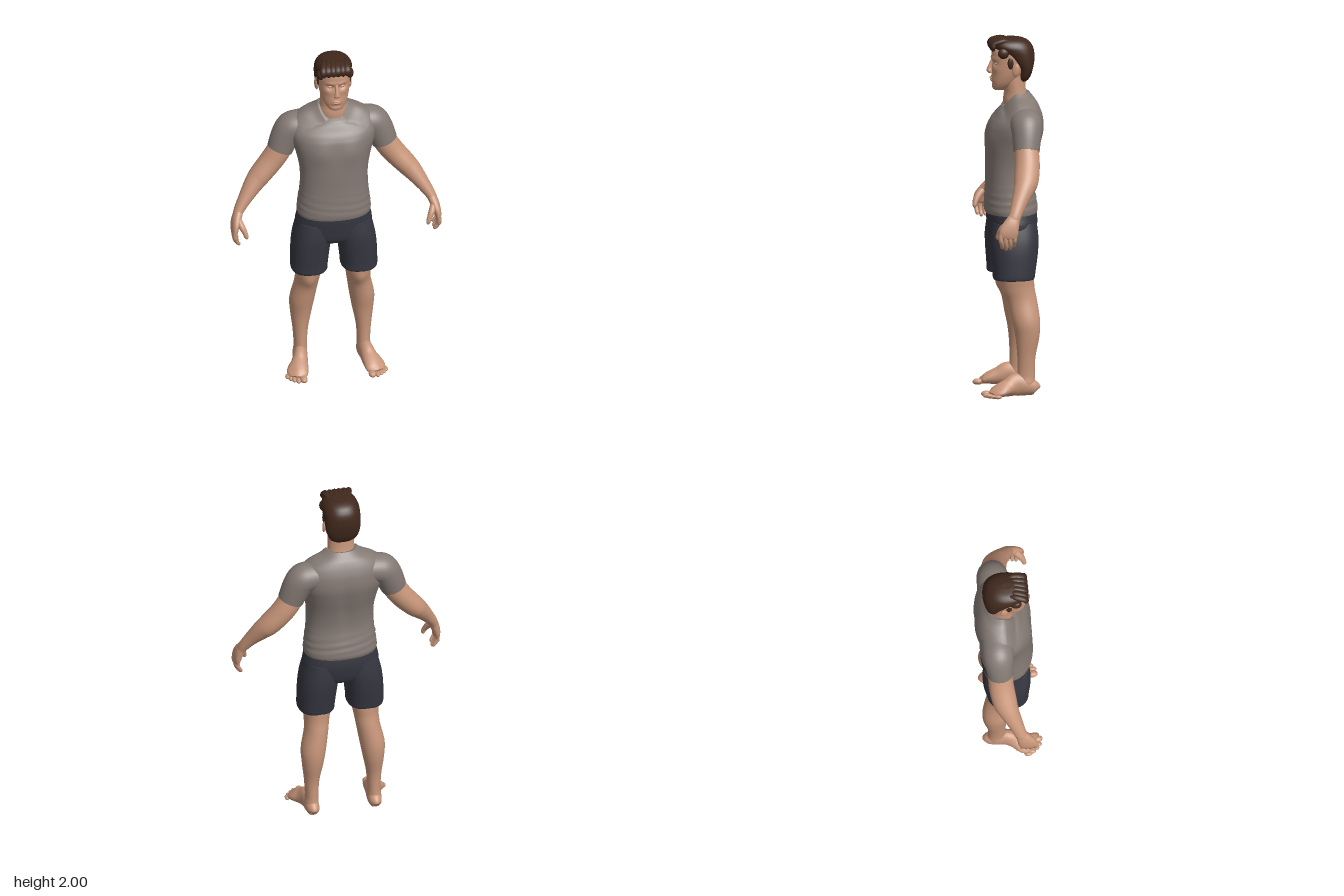
import * as THREE from 'three';

const V = (x, y, z) => new THREE.Vector3(x, y, z);
const bump = (d, w) => Math.exp(-(d * d) / (w * w));

// Smooth skin over superellipse sections [x, y, z, halfU, halfV]; flat keeps every section horizontal
function loft(sections, { flat = false, ref = V(0, 0, 1), seg = 28, steps = 5, p = 2, deform = null } = {}) {
  const path = new THREE.CatmullRomCurve3(sections.map(s => V(s[0], s[1], s[2])));
  const size = new THREE.CatmullRomCurve3(sections.map(s => V(s[3], s[4], 0)));
  const at = (curve, t) => { // parameter follows the section index
    const n = sections.length - 1, i = Math.min(Math.floor(t * n), n - 1), f = t * n - i;
    const P = curve.points, a = P[Math.max(i - 1, 0)], b = P[i], c = P[i + 1], d = P[Math.min(i + 2, n)];
    const cr = k => b[k] + 0.5 * f * (c[k] - a[k] + f * (2 * a[k] - 5 * b[k] + 4 * c[k] - d[k] + f * (3 * (b[k] - c[k]) + d[k] - a[k])));
    return V(cr('x'), cr('y'), cr('z'));
  };
  const rows = (sections.length - 1) * steps, pos = [], idx = [];
  for (let i = 0; i <= rows; i++) {
    const t = i / rows, c = at(path, t), r = at(size, t);
    const tan = flat ? V(0, Math.sign(sections.at(-1)[1] - sections[0][1]), 0)
      : at(path, Math.min(t + 0.01, 1)).sub(at(path, Math.max(t - 0.01, 0))).normalize();
    const v = ref.clone().addScaledVector(tan, -ref.dot(tan)).normalize();
    const u = tan.clone().cross(v);
    for (let j = 0; j < seg; j++) {
      const a = j / seg * Math.PI * 2, co = Math.cos(a), si = Math.sin(a);
      const q = c.clone()
        .addScaledVector(u, Math.sign(co) * Math.abs(co) ** (2 / p) * r.x)
        .addScaledVector(v, Math.sign(si) * Math.abs(si) ** (2 / p) * r.y);
      if (deform) deform(q);
      pos.push(q.x, q.y, q.z);
    }
  }
  for (let i = 0; i < rows; i++) for (let j = 0; j < seg; j++) {
    const k = (j + 1) % seg, a = i * seg + j, d = i * seg + k;
    idx.push(a, a + seg, d, a + seg, d + seg, d);
  }
  // end caps with their own corners, so hems stay crisp
  for (const row of [0, rows]) {
    const base = pos.length / 3, mid = V(0, 0, 0);
    for (let j = 0; j < seg; j++) {
      const o = (row * seg + j) * 3;
      pos.push(pos[o], pos[o + 1], pos[o + 2]);
      mid.add(V(pos[o], pos[o + 1], pos[o + 2]));
    }
    mid.divideScalar(seg);
    pos.push(mid.x, mid.y, mid.z);
    for (let j = 0; j < seg; j++) {
      const a = base + j, b = base + (j + 1) % seg;
      idx.push(base + seg, ...(row === 0 ? [a, b] : [b, a]));
    }
  }
  const g = new THREE.BufferGeometry();
  g.setAttribute('position', new THREE.Float32BufferAttribute(pos, 3));
  g.setIndex(idx);
  g.computeVertexNormals();
  return g;
}

// Horizontal sections given as [y, front z, back z, half width]
const rings = list => list.map(([y, f, b, a]) => [0, y, (f + b) / 2, a, (f - b) / 2]);

function blob(x, y, z, rx, ry, rz) {
  return new THREE.SphereGeometry(1, 18, 12).scale(rx, ry, rz).translate(x, y, z);
}

function mirrored(geo) {
  const g = geo.clone().scale(-1, 1, 1), ix = g.index.array;
  for (let i = 0; i < ix.length; i += 3) [ix[i], ix[i + 1]] = [ix[i + 1], ix[i]];
  g.computeVertexNormals();
  return g;
}

export function createModel() {
  const model = new THREE.Group();
  const mat = (name, color) => { const m = new THREE.MeshStandardMaterial({ color }); m.name = name; return m; };
  const skin = mat('skin', 0xc8967a), shirt = mat('grey shirt', 0x857a74);
  const navy = mat('dark shorts', 0x353640), brown = mat('brown hair', 0x40281c);
  const add = (name, geo, m) => {
    const mesh = new THREE.Mesh(geo, m);
    mesh.name = name;
    model.add(mesh);
  };
  const pair = (name, geo, m) => {
    add('left' + name, geo, m);
    add('right' + name, mirrored(geo), m);
  };

  // Shirt body, with chest, spine groove, waist folds and a dipped neckline
  add('shirtBody', loft(rings([
    [1.015, .138, -.148, .206], [1.04, .143, -.153, .207], [1.1, .14, -.145, .2], [1.2, .135, -.13, .19],
    [1.3, .135, -.142, .192], [1.4, .133, -.168, .212], [1.48, .122, -.185, .236], [1.55, .105, -.182, .24],
    [1.6, .085, -.167, .222], [1.64, .07, -.147, .172], [1.665, .06, -.128, .118], [1.69, .05, -.108, .086],
  ]), {
    flat: true, seg: 56, steps: 6, p: 2.25, deform: q => {
      const y = q.y;
      if (q.z > 0) q.z += .01 * bump(Math.abs(q.x) - .09, .06) * bump(y - 1.44, .06);
      else q.z += .012 * bump(q.x, .03) * bump(y - 1.35, .17);
      const fold = .004 * bump(y - 1.11, .05) * Math.sin(y * 150 + q.x * 14 + q.z * 9);
      q.x *= 1 + fold * 4; q.z *= 1 + fold * 5;
      const s = THREE.MathUtils.clamp((y - 1.5) / .19, 0, 1);
      q.y -= .08 * s * THREE.MathUtils.clamp((q.z + .03) / .07, 0, 1) ** 1.5;
    },
  }), shirt);
  pair('Sleeve', loft([
    [.12, 1.55, -.065, .08, .09], [.2, 1.54, -.065, .083, .09], [.235, 1.525, -.065, .085, .088],
    [.265, 1.475, -.062, .081, .081], [.295, 1.4, -.057, .073, .073],
  ], { seg: 32 }), shirt);

  // Shorts
  add('shortsSeat', loft(rings([
    [.85, .1, -.12, .17], [.88, .115, -.137, .205], [.95, .125, -.15, .215], [1.0, .13, -.149, .207], [1.05, .13, -.14, .198],
  ]), { flat: true, seg: 40, p: 2.3 }), navy);
  pair('ShortsLeg', loft([
    [.105, .97, -.012, .1, .125], [.12, .88, -.011, .108, .134], [.131, .8, -.01, .108, .13],
    [.139, .7, -.007, .104, .119], [.14, .665, -.005, .103, .116], [.14, .655, -.005, .099, .111],
  ], { flat: true, seg: 36, p: 2.4 }), navy);

  // Legs and feet
  pair('Leg', loft([
    [.137, .75, -.02, .085, .095], [.137, .66, -.025, .08, .094], [.141, .6, -.032, .071, .09],
    [.148, .53, -.052, .067, .083], [.168, .42, -.07, .07, .079], [.174, .33, -.077, .06, .067],
    [.178, .22, -.071, .043, .051], [.178, .12, -.069, .037, .049], [.18, .07, -.067, .04, .054], [.18, .03, -.065, .036, .05],
  ], {
    flat: true, seg: 32, deform: q => {
      if (q.z > -.01) q.z += .01 * bump(q.y - .57, .04) * bump(q.x - .142, .035); // kneecap
    },
  }), skin);
  pair('Foot', loft([
    [.178, .032, -.131, .014, .02], [.178, .04, -.12, .032, .038], [.18, .055, -.07, .041, .055],
    [.186, .064, -.015, .041, .064], [.197, .05, .035, .047, .05], [.211, .038, .08, .056, .038],
    [.222, .026, .115, .056, .026], [.225, .018, .14, .042, .015],
  ], { ref: V(0, 1, 0), deform: q => { q.y = Math.max(q.y, .002); q.z -= Math.max(0, q.x - .225) * .5; } }), skin);
  const toes = [[.193, .155, .021, .03], [.223, .152, .015, .028], [.244, .138, .014, .026], [.262, .12, .013, .024], [.276, .1, .013, .022]];
  toes.forEach(([x, z, r, len], i) => pair('Toe' + (i + 1), blob(x, r * .85, z, r, r * .85, len), skin));

  // Arms, palms and fingers
  pair('Arm', loft([
    [.25, 1.5, -.06, .06, .06], [.295, 1.4, -.058, .067, .068], [.345, 1.325, -.055, .065, .07],
    [.41, 1.25, -.04, .06, .068], [.45, 1.205, -.02, .053, .057], [.5, 1.14, .012, .039, .043],
    [.54, 1.08, .038, .029, .035], [.553, 1.045, .053, .025, .036],
  ]), skin);
  pair('Palm', loft([
    [.54, 1.08, .038, .024, .03], [.557, 1.04, .058, .026, .043], [.569, 1.0, .075, .022, .053],
    [.573, .968, .082, .017, .05], [.572, .955, .084, .009, .04],
  ], { p: 2.3 }), skin);
  for (let i = 0; i < 4; i++) {
    const z = .043 + i * .026, drop = [.018, .004, 0, .01][i], r = [.011, .013, .0135, .013][i];
    pair('Finger' + (i + 1), loft([
      [.572, .985, z, r, r], [.575, .95, z + .001, r, r], [.568, .918 + drop, z * .9 + .006, r * .92, r * .92],
      [.552, .895 + drop, z * .85 + .009, r * .75, r * .75], [.546, .889 + drop, z * .85 + .009, r * .25, r * .25],
    ], { seg: 12, steps: 4 }), skin);
  }
  pair('Thumb', loft([
    [.55, 1.045, .075, .016, .018], [.535, 1.01, .108, .018, .02], [.52, .98, .125, .0145, .015],
    [.512, .955, .132, .012, .012], [.51, .944, .134, .004, .004],
  ], { seg: 14 }), skin);

  // Neck and head
  add('neck', loft([
    [0, 1.57, -.04, .07, .07], [0, 1.64, -.035, .08, .072], [0, 1.69, -.03, .075, .062], [0, 1.75, -.025, .073, .062], [0, 1.8, -.03, .07, .065],
  ], { flat: true, seg: 32 }), skin);
  add('head', loft(rings([
    [1.7, .082, .03, .022], [1.71, .096, .01, .042], [1.74, .101, -.035, .064], [1.78, .1, -.075, .079],
    [1.82, .1, -.105, .087], [1.87, .1, -.12, .091], [1.92, .1, -.12, .09], [1.96, .08, -.1, .075], [1.98, .04, -.07, .045],
  ]), {
    flat: true, seg: 64, steps: 8, p: 2.2, deform: q => {
      if (q.z < .04) return;
      const x = Math.abs(q.x), y = q.y;
      q.z += .007 * bump(x - .028, .03) * bump(y - 1.88, .011);   // brow
      q.z -= .016 * bump(x - .034, .018) * bump(y - 1.855, .014);  // eye socket
      q.z += .005 * bump(x - .05, .02) * bump(y - 1.825, .018);    // cheek
      q.z += .006 * bump(x, .028) * bump(y - 1.765, .02);          // mouth
      q.z -= .006 * bump(x, .03) * bump(y - 1.738, .009);          // chin crease
    },
  }), skin);
  add('nose', loft([
    [0, 1.875, .096, .009, .008], [0, 1.85, .105, .009, .011], [0, 1.825, .113, .012, .014],
    [0, 1.808, .114, .018, .015], [0, 1.796, .106, .014, .012],
  ], { flat: true, seg: 20 }), skin);
  add('upperLip', blob(0, 1.771, .104, .024, .005, .008), skin);
  add('lowerLip', blob(0, 1.759, .103, .021, .006, .008), skin);
  pair('Eyelid', blob(.034, 1.854, .078, .015, .009, .01), skin);
  pair('Ear', blob(0, 0, 0, .009, .036, .021).rotateY(-.3).rotateX(-.15).translate(.095, 1.823, -.022), skin);

  // Hair cap, sideburns and swept-back front locks
  add('hair', loft(rings([
    [1.75, -.05, -.092, .05], [1.765, -.04, -.106, .071], [1.79, -.04, -.119, .085], [1.83, -.033, -.13, .096],
    [1.87, .005, -.137, .101], [1.9, .035, -.137, .103], [1.925, .07, -.134, .104], [1.95, .103, -.125, .101],
    [1.975, .1, -.105, .086], [1.992, .07, -.07, .058], [1.998, .03, -.03, .02],
  ]), { flat: true, seg: 48, p: 2.3 }), brown);
  pair('Sideburn', blob(.087, 1.862, .006, .01, .034, .017), brown);
  pair('TempleHair', blob(.082, 1.917, .045, .022, .03, .032), brown);
  for (let i = 0; i < 6; i++) {
    const x = -.068 + i * .027, k = 1 - Math.abs(x) * 2.5, w = .019 + .003 * (i % 2);
    add('frontLock' + (i + 1), loft([
      [x, 1.928, .088 + .012 * k, .006, .006], [x - .003, 1.945, .092 + .012 * k, w, .014],
      [x - .006, 1.967, .082 + .014 * k, w, .017], [x * .9, 1.975 + .008 * k, .045, w, .016], [x * .75, 1.972 + .01 * k, 0, .008, .006],
    ], { ref: V(0, .5, 1), seg: 14 }), brown);
  }
  return model;
}
